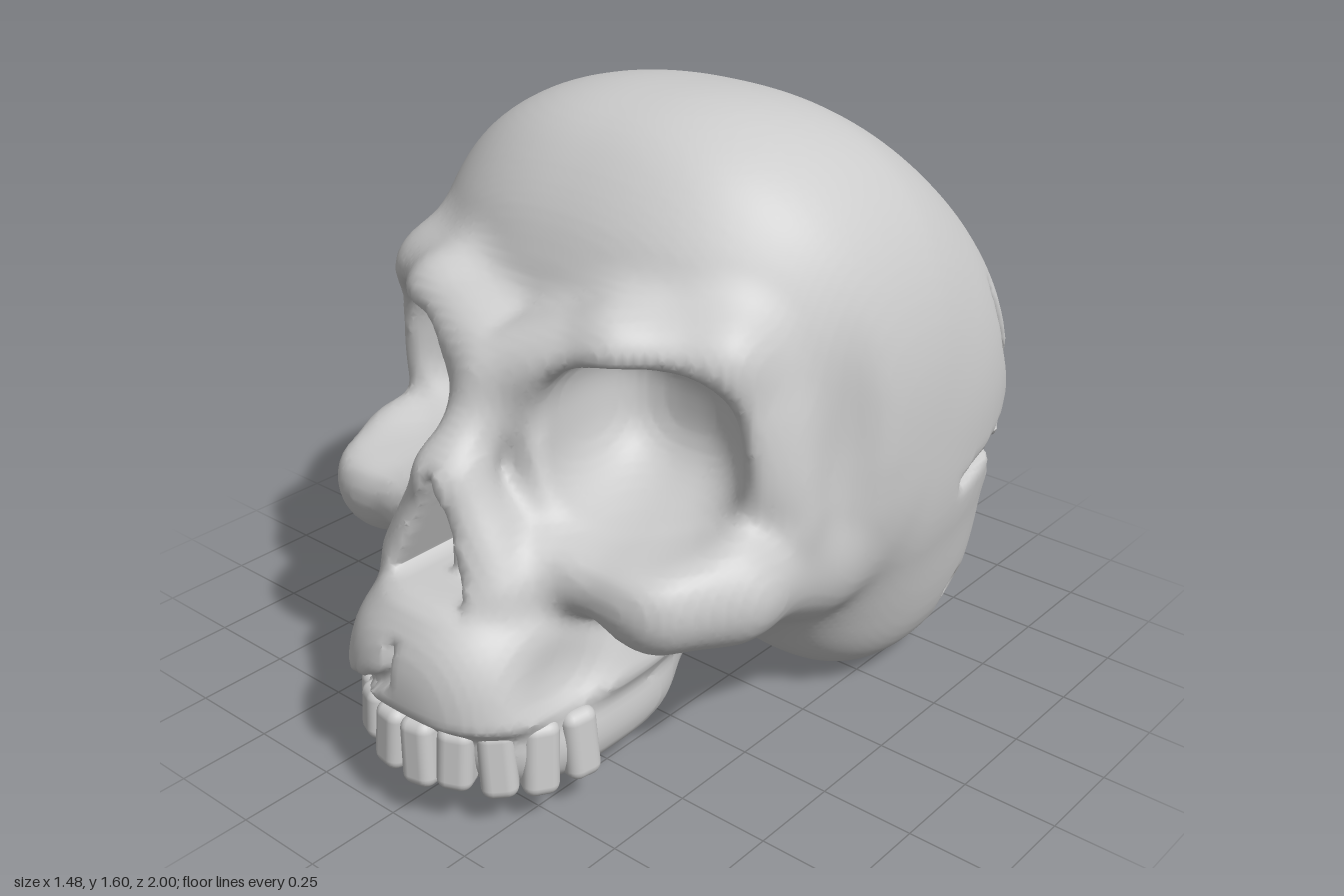
import * as THREE from 'three';
import { RoundedBoxGeometry } from 'three/addons/geometries/RoundedBoxGeometry.js';

const { abs, min, max, hypot, pow, PI } = Math;
const clamp01 = (t) => min(1, max(0, t));

// Smooth blending of signed distances
const join = (a, b, k) => min(a, b) - pow(max(k - abs(a - b), 0), 2) / (4 * k);
const carve = (a, b, k) => -join(-a, b, k);

// Rounded solid: centre c, radii r, exponent n (2 = ellipsoid, higher = boxier)
function blob(x, y, z, c, r, n = 2) {
  const k = pow(pow(abs(x - c[0]) / r[0], n) + pow(abs(y - c[1]) / r[1], n) + pow(abs(z - c[2]) / r[2], n), 1 / n);
  return (k - 1) * min(r[0], r[1], r[2]);
}

// Tapered capsule between a and b, each [x, y, z, radius]
function limb(x, y, z, a, b) {
  const d = [b[0] - a[0], b[1] - a[1], b[2] - a[2]];
  const h = clamp01(((x - a[0]) * d[0] + (y - a[1]) * d[1] + (z - a[2]) * d[2]) / (d[0] ** 2 + d[1] ** 2 + d[2] ** 2));
  return hypot(x - a[0] - h * d[0], y - a[1] - h * d[1], z - a[2] - h * d[2]) - a[3] - h * (b[3] - a[3]);
}

// Braincase: side outline [z, y] turned into a radius for each angle
const CZ = -0.2, CY = 0.78, BINS = 360;
const outline = new THREE.CatmullRomCurve3([
  [0.53, 0.78], [0.52, 1.0], [0.46, 1.2], [0.36, 1.4], [0.2, 1.55], [0, 1.6], [-0.28, 1.565],
  [-0.45, 1.49], [-0.62, 1.375], [-0.77, 1.24], [-0.9, 1.07], [-0.98, 0.88], [-1, 0.74], [-0.98, 0.57],
  [-0.92, 0.41], [-0.85, 0.27], [-0.76, 0.15], [-0.6, 0.05], [-0.4, 0.02], [-0.2, 0.04], [0, 0.16],
  [0.2, 0.25], [0.38, 0.42],
].map(([z, y]) => new THREE.Vector3(z - CZ, y - CY, 0)), true).getPoints(1500);
const radius = new Float32Array(BINS + 1);
for (const p of outline) {
  const bin = Math.round((Math.atan2(p.y, p.x) / (2 * PI) + 0.5) * BINS);
  radius[bin] = p.length();
}
radius[0] = radius[BINS] = max(radius[0], radius[BINS]);
function braincase(X, y, z) {
  const angle = Math.atan2(y - CY, z - CZ);
  const f = (angle / (2 * PI) + 0.5) * BINS;
  const i = min(BINS - 1, Math.floor(f));
  const r = radius[i] + (radius[i + 1] - radius[i]) * (f - i);
  // Roundness of the section: the back is fuller on the left than on the right
  const c = Math.cos(angle);
  const upDown = 2.56 - 0.1 * Math.sin(angle);
  const ends = 2.25 - 0.25 * min(0, c) * max(-1, min(1, X / 0.4));
  const n = upDown + (ends - upDown) * c * c;
  const k = pow(pow(hypot(y - CY, z - CZ) / r, n) + pow(abs(X) / 0.74, n), 1 / n);
  return (k - 1) * 0.74;
}

// Cracks drawn flat and cut a little way into the braincase
const sideCrack = [
  [[-0.62, 1.04, 0.004], [-0.66, 0.9, 0.025], [-0.73, 0.76, 0.03], [-0.8, 0.77, 0.03], [-0.87, 0.84, 0.01]],
  [[-0.36, 0.61, 0.012], [-0.52, 0.635, 0.016], [-0.66, 0.66, 0.025], [-0.76, 0.73, 0.035]],
  [[-0.6, 0.6, 0.04], [-0.68, 0.54, 0.03]],
  [[-0.79, 0.76, 0.03], [-0.74, 0.58, 0.04], [-0.72, 0.42, 0.03], [-0.69, 0.28, 0.008]],
];
const backCrack = [
  [[-0.15, 1.47, 0.006], [-0.19, 1.33, 0.018], [-0.25, 1.15, 0.028], [-0.2, 1.02, 0.03], [-0.11, 0.89, 0.03],
    [-0.25, 0.77, 0.028], [-0.32, 0.63, 0.022], [-0.4, 0.42, 0.006]],
  [[-0.25, 1.13, 0.02], [-0.37, 0.87, 0.02], [-0.28, 0.77, 0.025]],
  [[-0.36, 0.83, 0.025], [-0.46, 0.73, 0.008]],
  [[-0.24, 1.0, 0.05], [-0.24, 0.9, 0.07]],
];
function crack(u, v, chains) {
  let d = 9;
  for (const c of chains) for (let i = 1; i < c.length; i++) {
    d = min(d, limb(u, v, 0, [c[i - 1][0], c[i - 1][1], 0, c[i - 1][2]], [c[i][0], c[i][1], 0, c[i][2]]));
  }
  return d;
}

function skullField(X, y, z) {
  const x = abs(X);
  const brain = braincase(X, y, z);
  let d = join(brain, blob(x, y, z, [0.39, 0.25, -0.36], [0.24, 0.24, 0.33], 2.2), 0.14);
  if (z > -0.2) {
    // Middle of the face and base of the skull
    d = join(d, blob(x, y, z, [0, 0.76, 0.33], [0.5, 0.38, 0.3], 2.3), 0.08);
    d = join(d, limb(x, y, z, [0.08, 0.25, 0.5, 0.18], [0.1, 0.37, 0.05, 0.19]), 0.12);
    // Brow ridge and outer eye rim
    let rim = limb(x, y, z, [0, 1.04, 0.595, 0.09], [0.28, 1.13, 0.485, 0.085]);
    rim = join(rim, limb(x, y, z, [0.28, 1.13, 0.485, 0.085], [0.48, 1.11, 0.34, 0.08]), 0.05);
    rim = join(rim, limb(x, y, z, [0.48, 1.11, 0.34, 0.08], [0.56, 0.7, 0.22, 0.09]), 0.06);
    d = join(d, rim, 0.12);
    // Temple hollow
    d = carve(d, blob(x, y, z, [0.72, 0.86, 0.13], [0.05, 0.18, 0.06]), 0.08);
    // Upper jaw, flaring downwards and stepped in behind the teeth
    const jx = abs(X - 0.02);
    const gum = 0.035 * clamp01((0.3 - y) / 0.05);
    let jaw = blob(jx * (1 + 0.9 * (y - 0.25)), y, z, [0, 0.3, 0.55], [0.355, 0.305, 0.44], 2.9) + gum;
    jaw = join(jaw, blob(x, y, z, [0, 0.53, 0.62], [0.22, 0.26, 0.25]), 0.08);
    d = join(d, jaw, 0.07);
    // Nose bridge and flanks
    d = join(d, limb(x, y, z, [0, 1.0, 0.6, 0.08], [0, 0.82, 0.76, 0.07]), 0.06);
    d = join(d, limb(x, y, z, [0.02, 0.82, 0.75, 0.07], [0.13, 0.58, 0.74, 0.09]), 0.06);
    // Cheekbone sweeping back into the braincase
    d = join(d, limb(x, y, z, [0.22, 0.6, 0.62, 0.09], [0.46, 0.585, 0.54, 0.13]), 0.07);
    d = join(d, limb(x, y, z, [0.46, 0.585, 0.54, 0.13], [0.54, 0.575, 0.4, 0.12]), 0.06);
    d = join(d, limb(x, y, z, [0.54, 0.575, 0.4, 0.12], [0.52, 0.5, 0.08, 0.13]), 0.1);
    // Eye socket, opening outwards
    const sx = x - 0.3 * (z - 0.35) + 0.1 * (y - 0.9);
    d = carve(d, blob(sx, y, z, [0.325, 0.895, 0.62], [0.255, 0.215, 0.41], 2.8), 0.05);
    // Hollow beside the upper jaw
    d = carve(d, blob(x, y, z, [0.34, 0.4, 0.72], [0.06, 0.1, 0.12]), 0.06);
    // Nose opening with its dividing wall
    const edge = max(x - 0.42 * (0.85 - y), 0.555 - y) * 0.9;
    const wall = max(x - 0.02, z - 0.75);
    d = carve(d, max(edge, 0.62 - z, -wall), 0.03);
    // Break across the gum on one side
    if (z > 0.6) {
      const split = crack(X, y, [[[-0.32, 0.23, 0.02], [-0.1, 0.31, 0.018], [-0.02, 0.36, 0.014], [0, 0.46, 0.006]]]);
      d = carve(d, max(split, -(jaw + 0.03)), 0.015);
    }
  }
  if (X > 0.3 && z < -0.2) {
    d = carve(d, max(crack(z, y, sideCrack), -(brain + 0.05)), 0.03);
    const pits = min(hypot(z + 0.5, y - 0.19) - 0.05, hypot(z + 0.68, y - 0.25) - 0.025);
    d = carve(d, max(pits, -(d + 0.05)), 0.025);
  }
  if (X < 0.1 && z < -0.3) d = carve(d, max(crack(X, y, backCrack), -(brain + 0.045)), 0.03);
  return d;
}

// Mesh a signed distance field: one vertex per crossed cell, one quad per crossed edge
function fieldGeometry(field, lo, hi, step) {
  const n = lo.map((v, i) => Math.ceil((hi[i] - v) / step) + 1);
  const stride = [1, n[0], n[0] * n[1]];
  const value = new Float32Array(n[0] * n[1] * n[2]);
  const cell = new Int32Array(value.length).fill(-1);
  const each = (from, fn) => {
    for (let k = from; k < n[2] - 1; k++) for (let j = from; j < n[1] - 1; j++) for (let i = from; i < n[0] - 1; i++) {
      fn([i, j, k], i + j * stride[1] + k * stride[2]);
    }
  };
  for (let k = 0, q = 0; k < n[2]; k++) for (let j = 0; j < n[1]; j++) for (let i = 0; i < n[0]; i++) {
    value[q++] = field(lo[0] + i * step, lo[1] + j * step, lo[2] + k * step);
  }
  const position = [], index = [];
  each(0, (p, q) => {
    const sum = [0, 0, 0];
    let count = 0;
    for (let a = 0; a < 3; a++) for (let m = 0; m < 4; m++) {
      const b = (a + 1) % 3, c = (a + 2) % 3, ob = m & 1, oc = m >> 1;
      const s = q + ob * stride[b] + oc * stride[c];
      const v0 = value[s], v1 = value[s + stride[a]];
      if ((v0 < 0) === (v1 < 0)) continue;
      sum[a] += v0 / (v0 - v1); sum[b] += ob; sum[c] += oc;
      count++;
    }
    if (!count) return;
    cell[q] = position.length / 3;
    for (let a = 0; a < 3; a++) position.push(lo[a] + (p[a] + sum[a] / count) * step);
  });
  each(1, (p, q) => {
    for (let a = 0; a < 3; a++) {
      const inside = value[q] < 0;
      if (inside === (value[q + stride[a]] < 0)) continue;
      const b = stride[(a + 1) % 3], c = stride[(a + 2) % 3];
      const f = [cell[q - b - c], cell[q - c], cell[q], cell[q - b]];
      if (!inside) f.reverse();
      index.push(f[0], f[1], f[2], f[0], f[2], f[3]);
    }
  });
  const g = new THREE.BufferGeometry();
  g.setAttribute('position', new THREE.Float32BufferAttribute(position, 3));
  g.setIndex(index);
  g.computeVertexNormals();
  return g;
}

export function createModel() {
  const group = new THREE.Group();
  const bone = new THREE.MeshStandardMaterial({ color: 0xcccccc });
  const skull = new THREE.Mesh(fieldGeometry(skullField, [-0.82, -0.08, -1.08], [0.82, 1.7, 1.08], 0.018), bone);
  skull.name = 'skull';
  group.add(skull);

  // Upper teeth along the jaw arch, with uneven lengths
  const teeth = new THREE.Group();
  teeth.name = 'upperTeeth';
  [0.13, 0.2, 0.19, 0.14, 0.17, 0.18, 0.17, 0.19, 0.2, 0.19].forEach((len, i) => {
    const t = (-76 + i * 17) * PI / 180;
    const tooth = new THREE.Mesh(new RoundedBoxGeometry(0.092, len, 0.09, 3, 0.03), bone);
    tooth.name = 'tooth';
    tooth.position.set(0.02 + 0.305 * Math.sin(t), 0.28 - len / 2, 0.6 + 0.352 * Math.cos(t));
    tooth.rotation.set(-0.06, t, i % 2 ? 0.05 : -0.04, 'YXZ');
    teeth.add(tooth);
  });
  group.add(teeth);
  return group;
}
